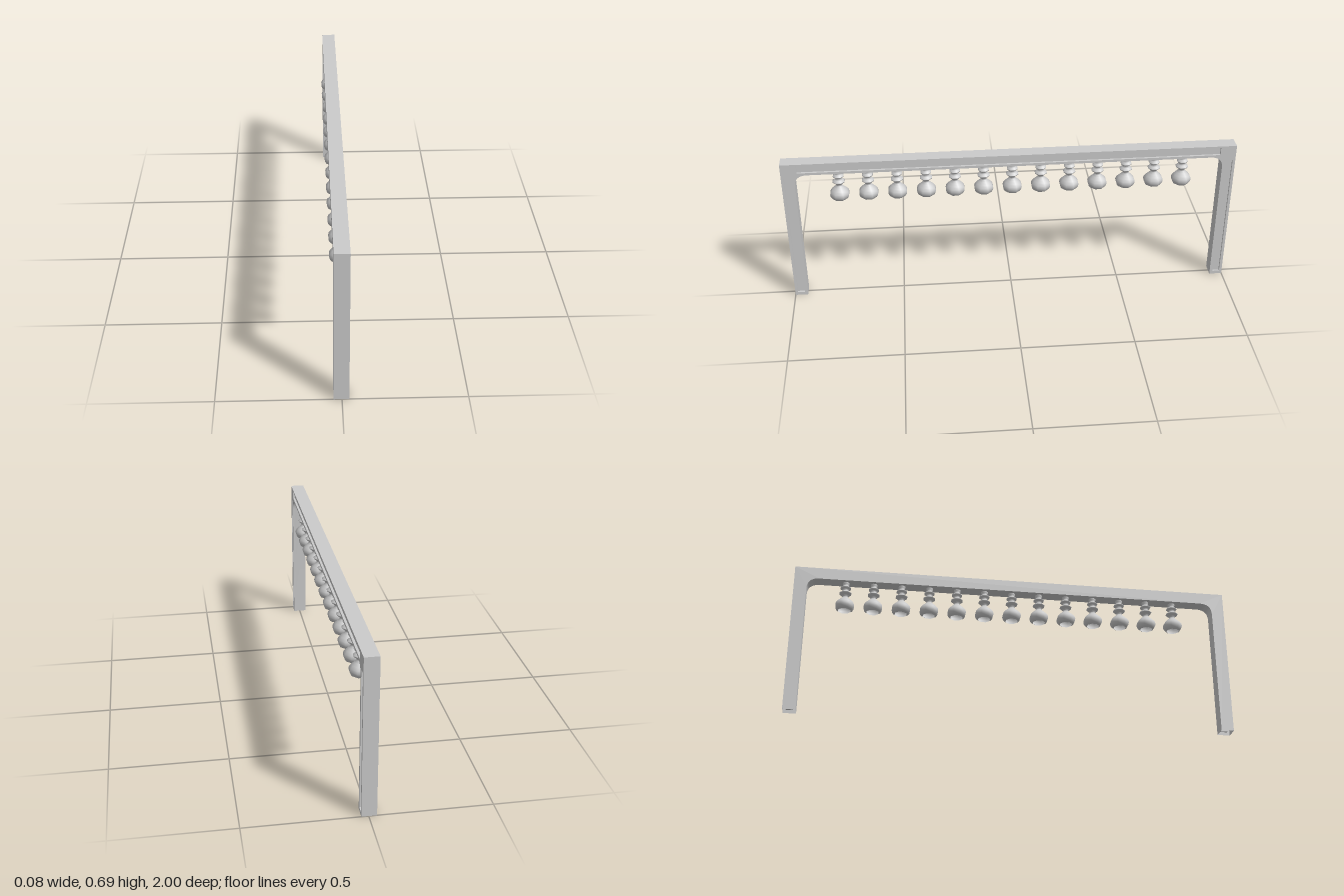
import * as THREE from 'three';
import { toCreasedNormals } from 'three/addons/utils/BufferGeometryUtils.js';

const H = 0.69, LEG_IN = 0.943, BEAM_Y = 0.636, R = 0.055;
const X_BACK = -0.033, X_SEAM = 0.019, X_FRONT = 0.029;
const CENTER_X = -0.002;

// Recessed panels on the +x face: [u0, u1, y0, y1]
const PANELS = {
  beamPanel: [-0.93, 0.93, 0.647, 0.682],
  legPanelFront: [-0.988, -0.957, 0.015, 0.62],
  legPanelBack: [0.957, 0.988, 0.015, 0.62],
};

function rect(Type, [u0, u1, y0, y1]) {
  const s = new Type();
  s.moveTo(u0, y0);
  s.lineTo(u1, y0);
  s.lineTo(u1, y1);
  s.lineTo(u0, y1);
  s.closePath();
  return s;
}

// Portal outline with rounded inner corners
function portal() {
  const s = new THREE.Shape();
  s.moveTo(-1, 0);
  s.lineTo(-LEG_IN, 0);
  s.lineTo(-LEG_IN, BEAM_Y - R);
  s.quadraticCurveTo(-LEG_IN, BEAM_Y, -LEG_IN + R, BEAM_Y);
  s.lineTo(LEG_IN - R, BEAM_Y);
  s.quadraticCurveTo(LEG_IN, BEAM_Y, LEG_IN, BEAM_Y - R);
  s.lineTo(LEG_IN, 0);
  s.lineTo(1, 0);
  s.lineTo(1, H);
  s.lineTo(-1, H);
  s.closePath();
  return s;
}

// Drops the triangles lying in the hidden seam plane and at the open leg ends
function openUp(geometry) {
  const src = geometry.index ? geometry.toNonIndexed() : geometry;
  const p = src.attributes.position, kept = [];
  for (let i = 0; i < p.count; i += 3) {
    const ids = [i, i + 1, i + 2];
    const seam = ids.every(k => Math.abs(p.getX(k) - X_SEAM) < 1e-5);
    const ground = ids.every(k => Math.abs(p.getY(k)) < 1e-5);
    if (!seam && !ground) ids.forEach(k => kept.push(p.getX(k), p.getY(k), p.getZ(k)));
  }
  const g = new THREE.BufferGeometry();
  g.setAttribute('position', new THREE.Float32BufferAttribute(kept, 3));
  return toCreasedNormals(g, 0.6);
}

function layer(shape, x0, x1) {
  const g = new THREE.ExtrudeGeometry(shape, { depth: x1 - x0, bevelEnabled: false, curveSegments: 8 });
  g.rotateY(Math.PI / 2).translate(x0, 0, 0);
  return openUp(g);
}

export function createModel() {
  const model = new THREE.Group();
  model.name = 'ornamentArch';
  const material = new THREE.MeshStandardMaterial({ color: 0xcccccc, side: THREE.DoubleSide });
  const add = (name, geometry, parent = model) => {
    const mesh = new THREE.Mesh(geometry, material);
    mesh.name = name;
    parent.add(mesh);
    return mesh;
  };

  // Frame: hollow body, pierced face layer and the floors of the recesses
  const frame = new THREE.Group();
  frame.name = 'frame';
  model.add(frame);
  add('frameBody', layer(portal(), X_BACK, X_SEAM), frame);
  const face = portal();
  for (const [name, r] of Object.entries(PANELS)) {
    face.holes.push(rect(THREE.Path, r));
    const floor = new THREE.ShapeGeometry(rect(THREE.Shape, r));
    add(name, floor.rotateY(Math.PI / 2).translate(X_SEAM, 0, 0), frame);
  }
  add('frameFace', layer(face, X_SEAM, X_FRONT), frame);

  // Row of hanging pendants: open bulb, neck and two turned rings
  const SIDES = 8, k = 1 / Math.cos(Math.PI / SIDES);
  const profile = [
    [0.027, 0.496], [0.034, 0.501], [0.039, 0.51], [0.0415, 0.521], [0.039, 0.532],
    [0.031, 0.543], [0.021, 0.553], [0.013, 0.561], [0.012, 0.567],
    [0.017, 0.573], [0.026, 0.581], [0.026, 0.585], [0.017, 0.592], [0.012, 0.597],
    [0.017, 0.603], [0.023, 0.608], [0.023, 0.612], [0.015, 0.618],
    [0.011, 0.623], [0.015, 0.628], [0.015, 0.638],
  ].map(([r, y]) => new THREE.Vector2(r * k, y));
  const pendant = new THREE.LatheGeometry(profile, SIDES, Math.PI / SIDES);
  const COUNT = 13, STEP = 0.127;
  for (let i = 0; i < COUNT; i++) {
    const z = -0.006 + (i - (COUNT - 1) / 2) * STEP;
    add(`pendant${i + 1}`, pendant).position.set(CENTER_X, 0, z);
  }
  return model;
}
